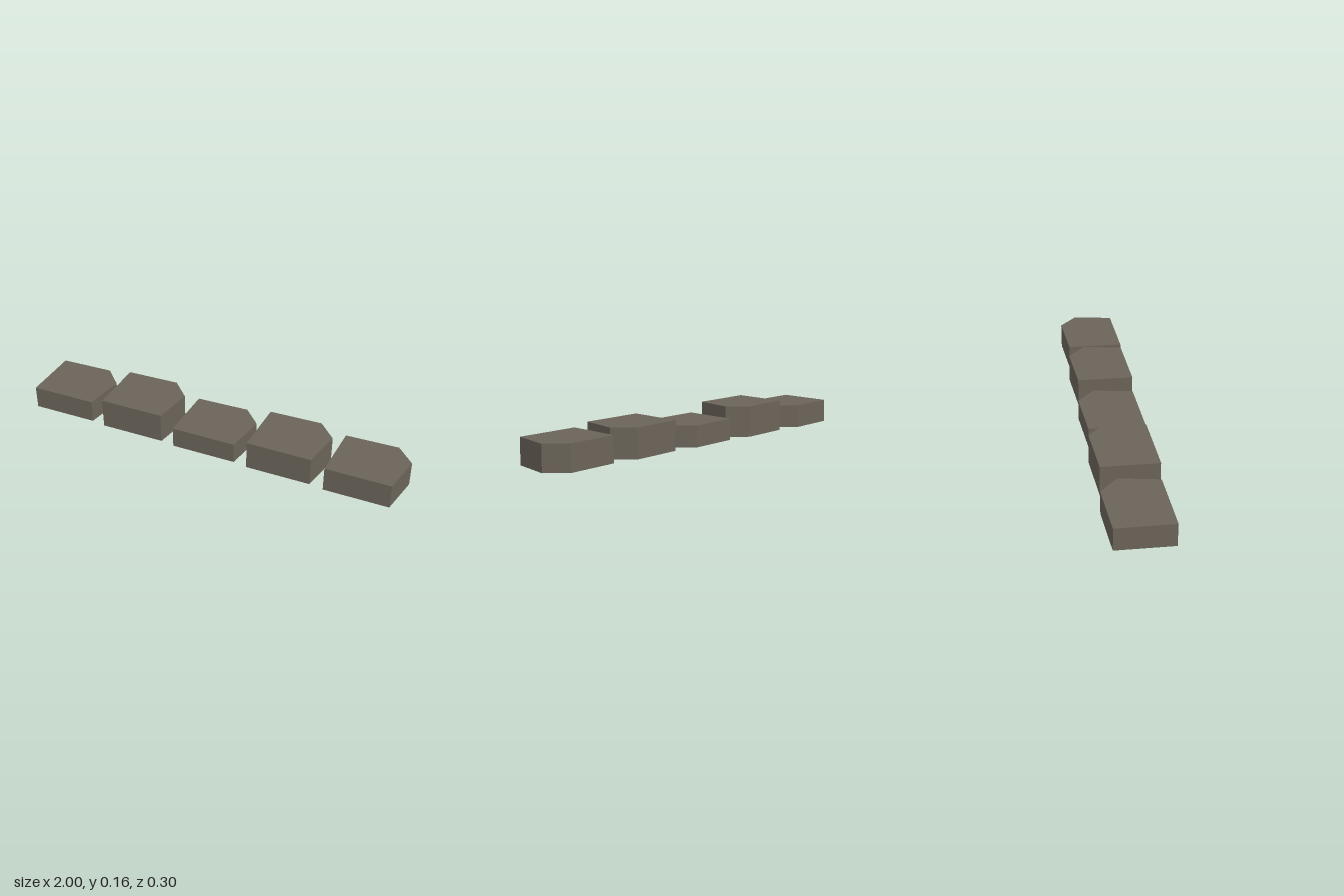
import * as THREE from 'three';

// Stone outline seen from above, as [x, z], relative to the stone's front left corner
const OUTLINE = [[0, 0.152], [0.01, -0.135], [0.28, -0.152], [0.372, -0.061], [0.334, 0.142]];
const HEIGHTS = [0.122, 0.162, 0.111, 0.153, 0.133];
const PITCH = 0.407;

// Flat top and upright walls, open underneath
function stoneGeometry(height) {
  const pos = [];
  const n = OUTLINE.length;
  const at = (i, y) => [OUTLINE[i % n][0], y, OUTLINE[i % n][1]];
  for (let i = 1; i < n - 1; i++) pos.push(...at(0, height), ...at(i + 1, height), ...at(i, height));
  for (let i = 0; i < n; i++) {
    pos.push(...at(i, 0), ...at(i, height), ...at(i + 1, height));
    pos.push(...at(i, 0), ...at(i + 1, height), ...at(i + 1, 0));
  }
  const geometry = new THREE.BufferGeometry();
  geometry.setAttribute('position', new THREE.Float32BufferAttribute(pos, 3));
  geometry.computeVertexNormals();
  return geometry;
}

export function createModel() {
  const group = new THREE.Group();
  group.name = 'stoneRow';
  const material = new THREE.MeshStandardMaterial({ color: 0x6b6459, flatShading: true, side: THREE.DoubleSide });

  // Five stones in a row, differing only in height
  HEIGHTS.forEach((height, i) => {
    const stone = new THREE.Mesh(stoneGeometry(height), material);
    stone.name = `stone${i + 1}`;
    stone.position.x = -1 + i * PITCH;
    group.add(stone);
  });
  return group;
}
